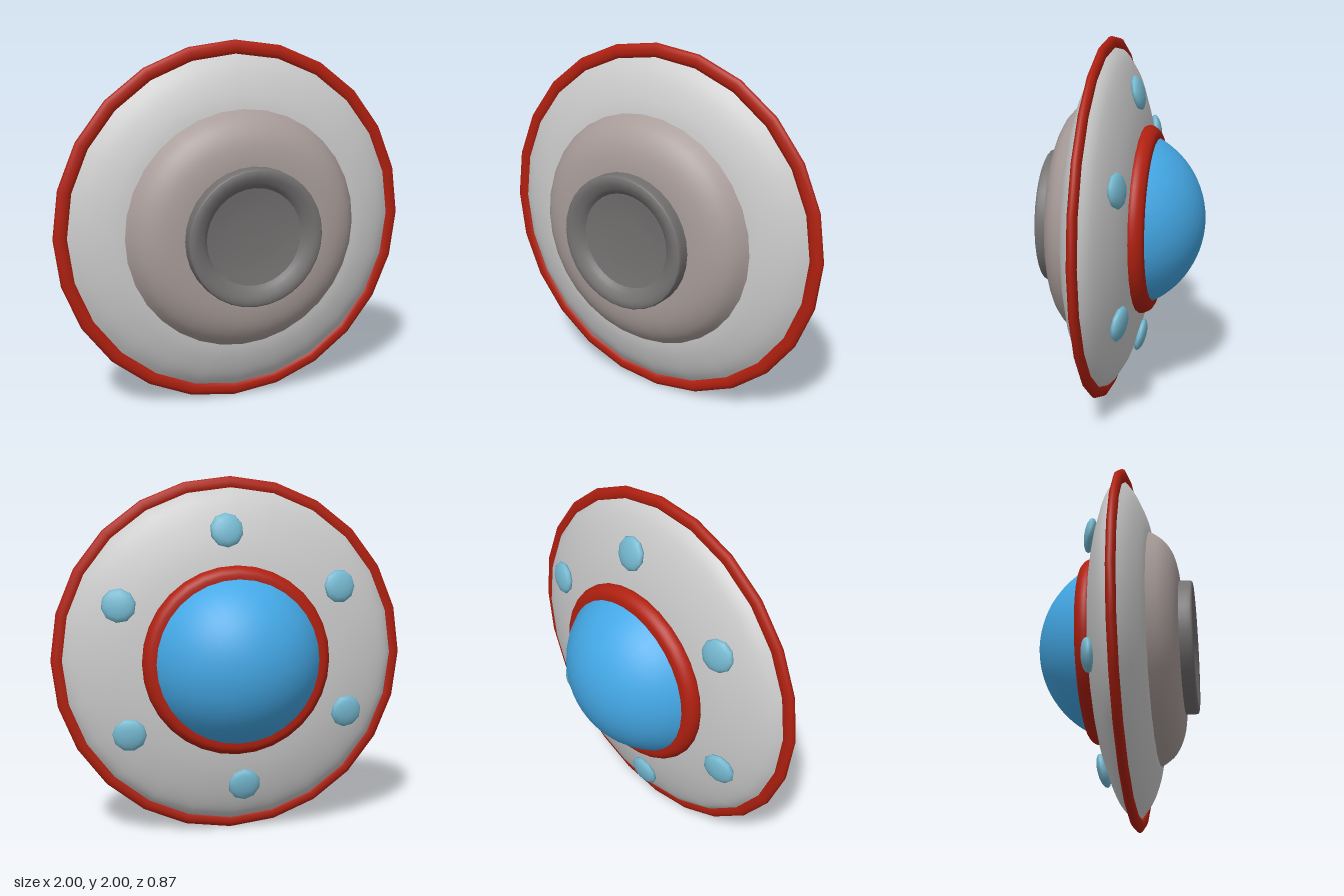
import * as THREE from 'three';

const material = (color) => new THREE.MeshStandardMaterial({ color });

export function createModel() {
  const model = new THREE.Group();
  model.name = 'flyingSaucer';

  // The saucer is turned about its own upright axis, then tipped so its dome points to -z.
  const saucer = new THREE.Group();
  saucer.name = 'saucer';
  saucer.position.y = 1;
  saucer.rotation.x = -Math.PI / 2;
  model.add(saucer);

  const add = (name, geometry, color) => {
    const mesh = new THREE.Mesh(geometry, material(color));
    mesh.name = name;
    saucer.add(mesh);
    return mesh;
  };

  // Profiles are [radius, height] pairs running from the underside upward.
  const turned = (name, profile, color, sides = 32, steps = 16) => {
    const curve = new THREE.SplineCurve(profile.map(([r, h]) => new THREE.Vector2(r, h)));
    const points = curve.getPoints(steps);
    points.forEach((p) => { p.x = Math.max(p.x, 0); });
    return add(name, new THREE.LatheGeometry(points, sides), color);
  };

  // Hull: lower and upper shells meeting at the rim
  turned('lowerHull', [[0.6, -0.222], [0.7, -0.207], [0.8, -0.175], [0.88, -0.135], [0.95, -0.08]], 0xc4c4c4, 24);
  turned('upperHull', [[0.95, -0.08], [0.9, -0.025], [0.8, 0.025], [0.65, 0.072], [0.5, 0.1], [0.4, 0.108]], 0xc4c4c4, 24);

  // Flattened red rim
  const rim = new THREE.TorusGeometry(0.96, 0.04, 10, 24);
  rim.rotateX(Math.PI / 2);
  rim.scale(1, 0.62, 1);
  rim.translate(0, -0.085, 0);
  add('rim', rim, 0xb02010);

  // Rounded underbody
  turned('underbody', [[0.3, -0.362], [0.42, -0.358], [0.52, -0.335], [0.6, -0.285], [0.653, -0.21]], 0xa89c99);

  // Thruster: outer wall, lip and shallow recess
  const thruster = turned('thrusterRing', [[0.26, -0.385], [0.285, -0.412], [0.325, -0.432], [0.355, -0.433], [0.37, -0.418], [0.37, -0.345]], 0x737070, 32, 20);
  thruster.material.side = THREE.DoubleSide;
  turned('thrusterFloor', [[0, -0.37], [0.15, -0.374], [0.265, -0.388]].reverse().map(([r, h]) => [r, h]).reverse(), 0x737070, 32, 6);

  // Collar and dome
  turned('collar', [[0.5, 0.075], [0.52, 0.105], [0.513, 0.14], [0.485, 0.167], [0.44, 0.172]], 0xb02010);
  const R = 0.515;
  const dome = new THREE.SphereGeometry(R, 32, 14, 0, Math.PI * 2, 0, 1.1);
  dome.translate(0, 0.435 - R, 0);
  add('dome', dome, 0x44a8e6);

  // Six lamps, each lying along the slope of the upper hull
  for (let i = 0; i < 6; i++) {
    const angle = THREE.MathUtils.degToRad(94 + i * 60);
    const pivot = new THREE.Group();
    pivot.name = 'lamp' + (i + 1);
    pivot.rotation.y = angle;
    const lamp = new THREE.Mesh(new THREE.SphereGeometry(1, 10, 8), material(0x76bad2));
    lamp.name = 'lampGlass';
    lamp.scale.set(0.095, 0.033, 0.092);
    lamp.position.set(0.71, 0.07, 0);
    lamp.rotation.z = -0.22;
    pivot.add(lamp);
    saucer.add(pivot);
  }

  return model;
}
